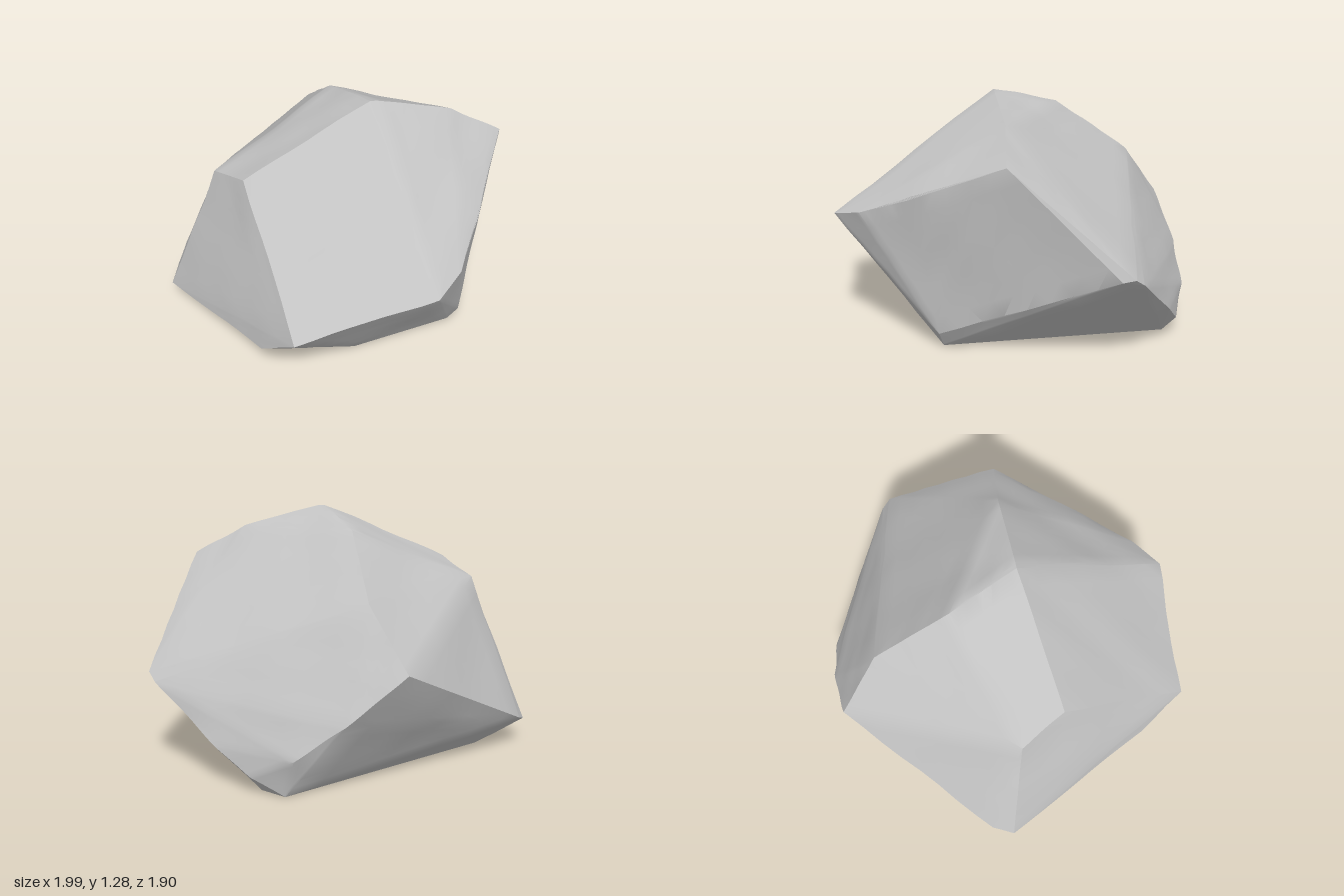
import * as THREE from 'three';
import { toCreasedNormals } from 'three/addons/utils/BufferGeometryUtils.js';
import { ConvexGeometry } from 'three/addons/geometries/ConvexGeometry.js';

// Corners of the boulder, grouped by where they sit
const corners = [
  // crest, running from the left shoulder over the peak to the right shoulder
  [-0.7, 0.98, 0], [-0.74, 0.9, -0.26], [0, 1.28, 0.12], [-0.03, 1.28, 0.11],
  [0.38, 1.17, 0.24], [0.62, 1.02, 0.35],
  // back ridge down to the rear point
  [-0.04, 1.18, -0.27], [0.04, 0.89, -0.68], [-0.05, 0.6, -0.95],
  // right tip and the low edge curving from it round to the rear point
  [1, 0.51, -0.14], [0.98, 0.5, -0.08], [0.98, 0.47, -0.2],
  [0.76, 0.22, -0.5], [0.46, 0.2, -0.8], [0.24, 0.37, -0.9],
  // front overhang
  [-0.18, 0.67, 0.95], [0, 0.71, 0.88], [0.23, 0.81, 0.69], [-0.82, 0.5, 0.7],
  [-0.88, 0.3, 0.45],
  // low left corner
  [-1, 0.12, -0.44], [-0.92, 0.16, -0.53],
  // chamfered foot
  [0.63, 0.09, -0.65], [0.26, 0.09, 0.56], [-0.35, 0.09, 0.49],
  [0.56, 0, -0.61], [0.48, 0, -0.73], [0.22, 0, 0.52], [-0.33, 0, 0.43], [-0.72, 0, -0.4],
];

// Gentle unevenness of the stone, fading out towards the ground
function roughen(p) {
  const bump = Math.sin(p.x * 9 + p.z * 4) * Math.sin(p.y * 8 - p.z * 5 + 1)
    + 0.6 * Math.sin(p.x * 17 - p.y * 13) * Math.sin(p.z * 19 + p.y * 7);
  const amount = 0.006 * bump * Math.min(1, p.y / 0.2);
  const out = p.clone().sub(new THREE.Vector3(0, 0.55, 0)).normalize();
  return p.clone().addScaledVector(out, amount);
}

// Split every hull triangle into n * n smaller ones and roughen them
function weather(hull, n) {
  const source = hull.getAttribute('position');
  const positions = [];
  for (let t = 0; t < source.count; t += 3) {
    const [a, b, c] = [0, 1, 2].map(k => new THREE.Vector3().fromBufferAttribute(source, t + k));
    const at = (i, j) => roughen(a.clone().multiplyScalar((n - i - j) / n)
      .addScaledVector(b, i / n).addScaledVector(c, j / n));
    const add = (...points) => points.forEach(p => positions.push(p.x, p.y, p.z));
    for (let i = 0; i < n; i++) {
      for (let j = 0; j < n - i; j++) {
        add(at(i, j), at(i + 1, j), at(i, j + 1));
        if (i + j < n - 1) add(at(i + 1, j), at(i + 1, j + 1), at(i, j + 1));
      }
    }
  }
  const geometry = new THREE.BufferGeometry();
  geometry.setAttribute('position', new THREE.Float32BufferAttribute(positions, 3));
  return geometry;
}

export function createModel() {
  const stone = new THREE.MeshStandardMaterial({ color: 0xc2c2c2 });
  stone.name = 'stone grey';

  const hull = new ConvexGeometry(corners.map(c => new THREE.Vector3(...c)));
  const boulder = new THREE.Mesh(toCreasedNormals(weather(hull, 8), 0.5), stone);
  boulder.name = 'boulder';

  const model = new THREE.Group();
  model.name = 'rock';
  model.add(boulder);
  return model;
}
